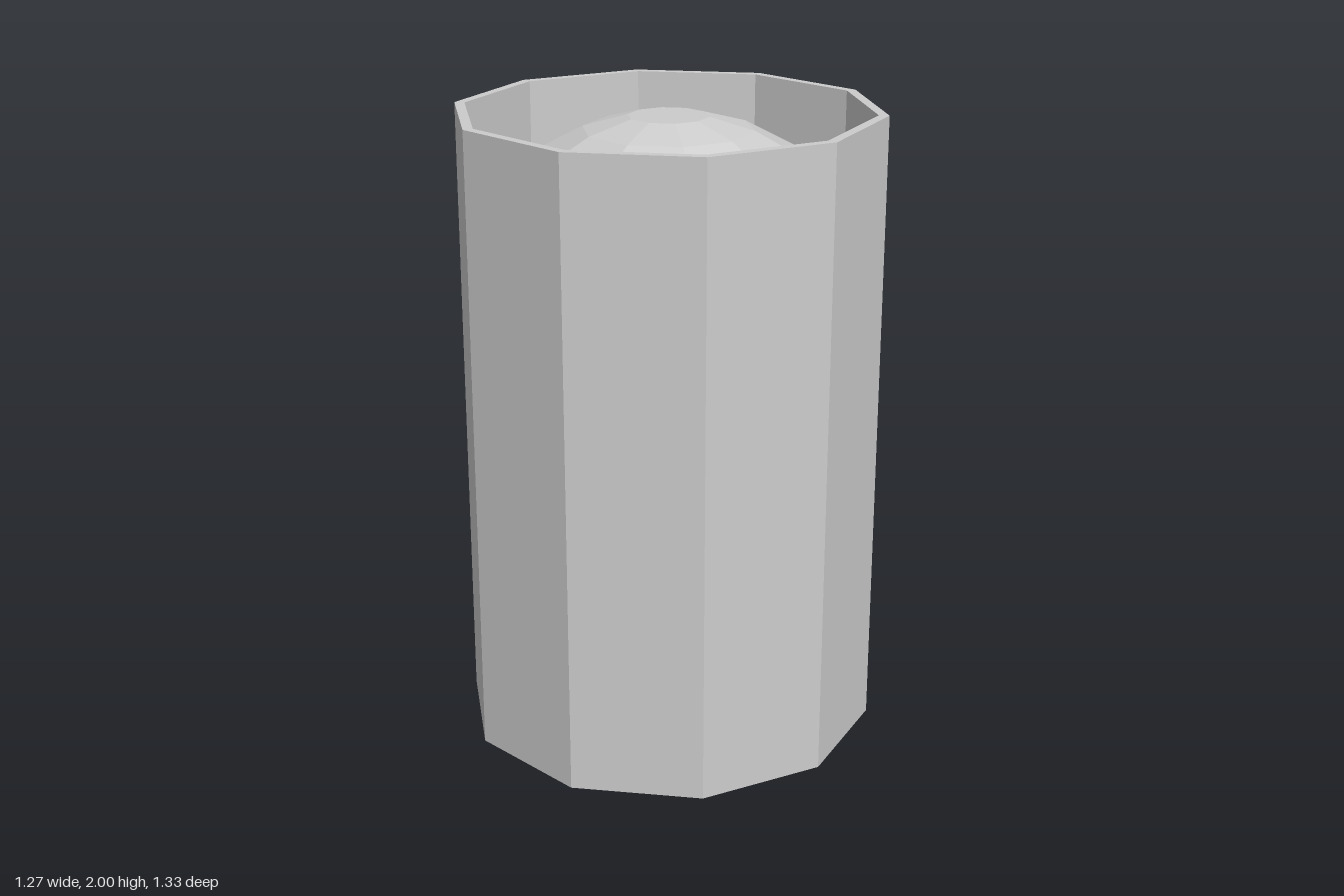
import * as THREE from 'three';

const SIDES = 10;
const OUTER = 0.667, INNER = 0.635;
const BASE_Y = 0.04, LID_Y = 1.73;

// Ten-sided faceted surface of revolution from [radius, height] pairs.
function faceted(name, profile, material) {
  const points = profile.map(([r, y]) => new THREE.Vector2(r, y));
  const geometry = new THREE.LatheGeometry(points, SIDES).toNonIndexed();
  geometry.computeVertexNormals();
  const mesh = new THREE.Mesh(geometry, material);
  mesh.name = name;
  return mesh;
}

export function createModel() {
  const grey = new THREE.MeshStandardMaterial({ color: 0xcccccc });
  grey.name = 'metal grey';

  const can = new THREE.Group();
  can.name = 'can';

  // Thin tube wall with top and bottom rims
  can.add(faceted('wall', [
    [INNER, BASE_Y], [INNER, 0], [OUTER, 0], [OUTER, 2], [INNER, 2], [INNER, LID_Y],
  ], grey));

  // Flat bottom, slightly recessed
  can.add(faceted('base', [[0, BASE_Y], [INNER, BASE_Y]], grey));

  // Domed lid sunk inside the rim, with a flat top
  can.add(faceted('domedLid', [
    [INNER, LID_Y], [0.53, 1.8], [0.267, 1.94], [0.126, 1.98], [0, 1.98],
  ], grey));

  return can;
}
